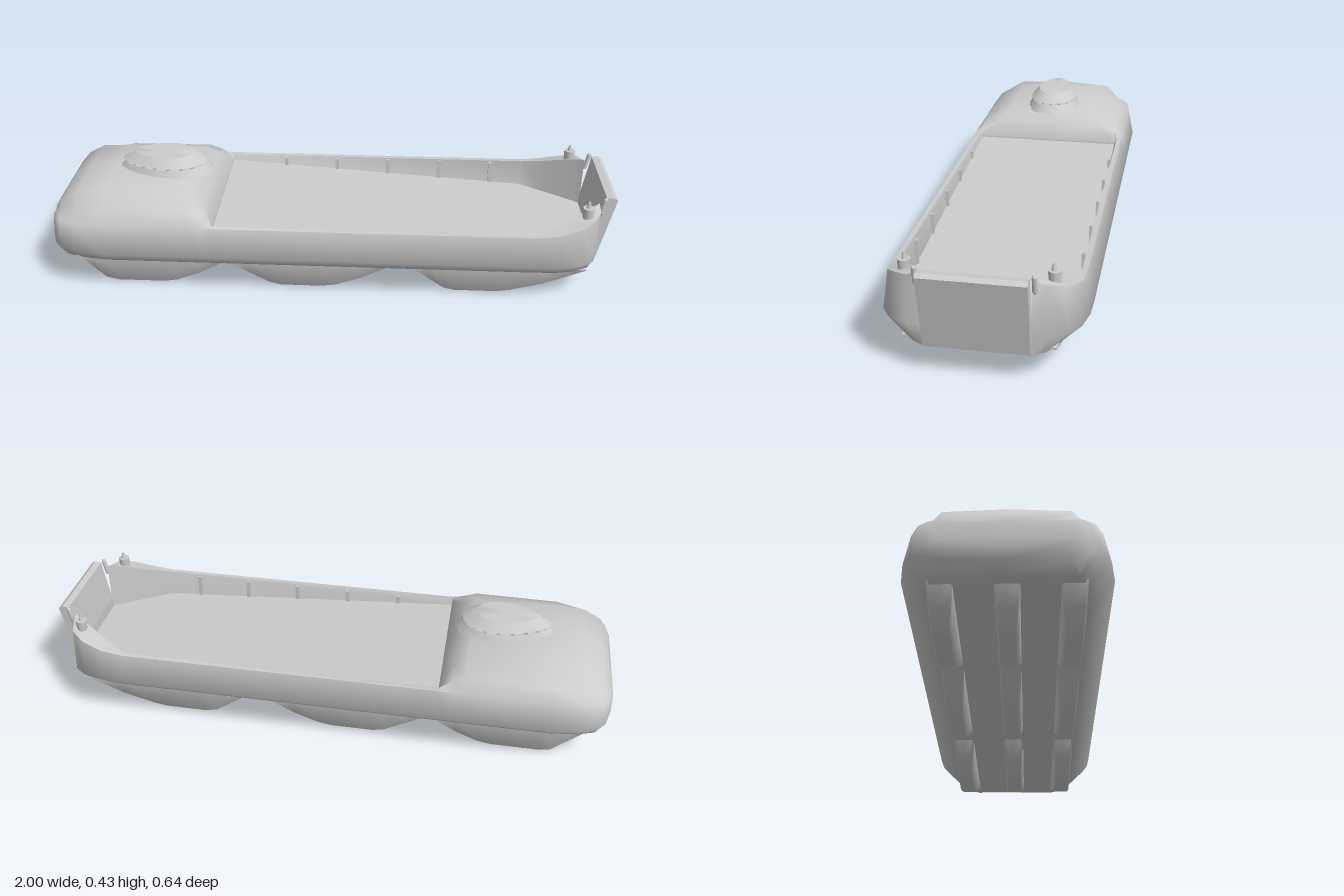
import * as THREE from 'three';
import { toCreasedNormals } from 'three/addons/utils/BufferGeometryUtils.js';

const material = new THREE.MeshStandardMaterial({ color: 0xcccccc, side: THREE.DoubleSide });

function add(parent, name, geometry, x = 0, y = 0, z = 0) {
  const mesh = new THREE.Mesh(geometry, material);
  mesh.name = name;
  mesh.position.set(x, y, z);
  parent.add(mesh);
  return mesh;
}

// Height of the cargo deck, which falls from the cabin towards the bow
const deckY = (x) => 0.255 - 0.068 * (x + 0.41);

// Skins mirrored cross-sections placed along x. Each section holds x and the
// [z, y] points of its +z half, from bottom centre to top centre.
function loft(sections, crease) {
  const rings = sections.map(({ x, half }) => {
    const mirrored = half.slice(1, -1).reverse().map(([z, y]) => [-z, y]);
    return [...half, ...mirrored].map(([z, y]) => new THREE.Vector3(x, y, z));
  });
  const n = rings[0].length, index = [];
  for (let i = 0; i < rings.length - 1; i++) {
    for (let j = 0; j < n; j++) {
      const a = i * n + j, b = i * n + (j + 1) % n;
      index.push(a, a + n, b, b, a + n, b + n);
    }
  }
  const cap = (i, flip) => {
    const outline = rings[i].map((p) => new THREE.Vector2(p.z, p.y));
    for (const [a, b, c] of THREE.ShapeUtils.triangulateShape(outline, [])) {
      index.push(i * n + a, i * n + (flip ? c : b), i * n + (flip ? b : c));
    }
  };
  cap(0, false);
  cap(rings.length - 1, true);
  const geometry = new THREE.BufferGeometry().setFromPoints(rings.flat());
  geometry.setIndex(index);
  return toCreasedNormals(geometry, crease);
}

// Hull, raised cabin and open cargo well in one skin
function hullGeometry() {
  // x, plan scale, base y, side y, shoulder z y, inner z y, centre y
  // (in the well, the inner y and centre y follow the deck)
  const cabin = [
    [-1.0, 0.62, 0.165, 0.245, 0.18, 0.25, 0.12, 0.252, 0.252],
    [-0.985, 0.76, 0.135, 0.262, 0.2, 0.27, 0.17, 0.285, 0.287],
    [-0.96, 0.86, 0.098, 0.265, 0.22, 0.275, 0.19, 0.312, 0.32],
    [-0.9, 0.95, 0.098, 0.27, 0.245, 0.29, 0.19, 0.345, 0.358],
    [-0.8, 1, 0.098, 0.275, 0.268, 0.318, 0.17, 0.36, 0.37],
    [-0.5, 1, 0.098, 0.275, 0.268, 0.32, 0.17, 0.358, 0.366],
    [-0.45, 1, 0.098, 0.275, 0.272, 0.3, 0.2, 0.32, 0.325],
    [-0.41, 1, 0.098, 0.275, 0.28, 0.275, 0.272, 0.262, 0.262],
  ];
  const well = [
    [-0.41, 1, 0.098, 0.275, 0.28, 0.275, 0.272],
    [0.72, 1, 0.098, 0.275, 0.28, 0.275, 0.272],
    [0.8, 0.99, 0.098, 0.285, 0.24, 0.3, 0.232],
    [0.87, 0.94, 0.098, 0.305, 0.205, 0.325, 0.197],
    [0.915, 0.84, 0.098, 0.325, 0.18, 0.34, 0.172],
    [0.938, 0.68, 0.098, 0.33, 0.165, 0.345, 0.16],
  ].map((s) => [...s, deckY(s[0]), deckY(s[0])]);
  return loft([...cabin, ...well].map(([x, k, base, side, z1, y1, z2, y2, top]) => ({
    x,
    half: [[0, base], [0.24 * k, base], [0.32 * k, Math.max(0.17, base + 0.03)],
      [0.298 * k, side], [z1, y1], [z2, y2], [0, top]],
  })), 1.1);
}

// Boat-shaped pod whose keel follows [x, y] points
function podGeometry(keel) {
  return loft(keel.map(([x, b]) => {
    const w = 0.031 + 0.08 * b;
    return { x, half: [[0, b], [w - 0.006, b], [w, b + 0.005], [0.039, 0.112], [0, 0.112]] };
  }), 1);
}

// Tapered drum squeezed into a teardrop, pointed towards -x
function teardrop(topScale, bottomScale, height) {
  const geometry = new THREE.CylinderGeometry(topScale, bottomScale, height, 32);
  const p = geometry.attributes.position;
  for (let i = 0; i < p.count; i++) {
    const x = p.getX(i);
    p.setXYZ(i, x * 0.165, p.getY(i), p.getZ(i) * 0.095 * (1 + 0.25 * x));
  }
  return toCreasedNormals(geometry, 0.6);
}

export function createModel() {
  const model = new THREE.Group();
  model.name = 'landingCraft';
  add(model, 'hull', hullGeometry());

  // Three rows of three pods under the hull
  const rows = [[-0.92, -0.8, -0.59, -0.37], [-0.38, -0.2, -0.01, 0.23], [0.28, 0.43, 0.62, 0.91]];
  for (const [a, b, c, d] of rows) {
    const keel = [[a, 0.105], [a + (b - a) * 0.5, 0.05], [b - 0.02, 0.01], [b + 0.02, 0],
      [c - 0.02, 0], [c + 0.03, 0.008], [c + (d - c) * 0.5, 0.042], [d, 0.105]];
    for (const z of [-0.195, 0, 0.195]) add(model, 'pod', podGeometry(keel), 0, 0, z);
  }

  // Bridge: base, row of window posts, roof
  const bridge = new THREE.Group();
  bridge.name = 'bridge';
  bridge.position.x = -0.617;
  model.add(bridge);
  add(bridge, 'bridgeBase', teardrop(0.9, 1.06, 0.03), 0, 0.371, 0);
  add(bridge, 'bridgeRoof', teardrop(0.66, 0.94, 0.03), 0, 0.41, 0);
  for (let i = 0; i < 18; i++) {
    const a = (i / 18) * Math.PI * 2, x = 0.85 * Math.cos(a);
    add(bridge, 'windowPost', new THREE.BoxGeometry(0.012, 0.014, 0.01),
      x * 0.165, 0.391, 0.85 * Math.sin(a) * 0.095 * (1 + 0.25 * x));
  }

  // Bow ramp, leaning outwards
  const side = new THREE.Shape([[0.932, 0.097], [0.945, 0.1], [1.0, 0.355], [0.985, 0.365],
    [0.962, 0.362], [0.936, 0.2]].map(([x, y]) => new THREE.Vector2(x, y)));
  add(model, 'bowRamp', new THREE.ExtrudeGeometry(side, { depth: 0.324, bevelEnabled: false }), 0, 0, -0.162);

  for (const s of [-1, 1]) {
    // Ramp hooks
    const hook = add(model, 'rampHook', new THREE.CapsuleGeometry(0.008, 0.05, 4, 10), 0.95, 0.338, s * 0.174);
    hook.rotation.z = -0.2;

    // Mooring posts
    add(model, 'mooringPost', new THREE.CylinderGeometry(0.02, 0.018, 0.045, 14), 0.89, 0.335, s * 0.222);
    add(model, 'mooringTip', new THREE.CylinderGeometry(0.004, 0.009, 0.024, 10), 0.89, 0.368, s * 0.22);

    // Ribs inside the cargo well, from the deck up to the rim
    for (let i = 0; i < 5; i++) {
      const x = -0.2 + i * 0.2, height = 0.272 - deckY(x);
      add(model, 'wellRib', new THREE.BoxGeometry(0.014, height, 0.01), x, 0.272 - height / 2, s * 0.27);
    }
  }
  return model;
}
